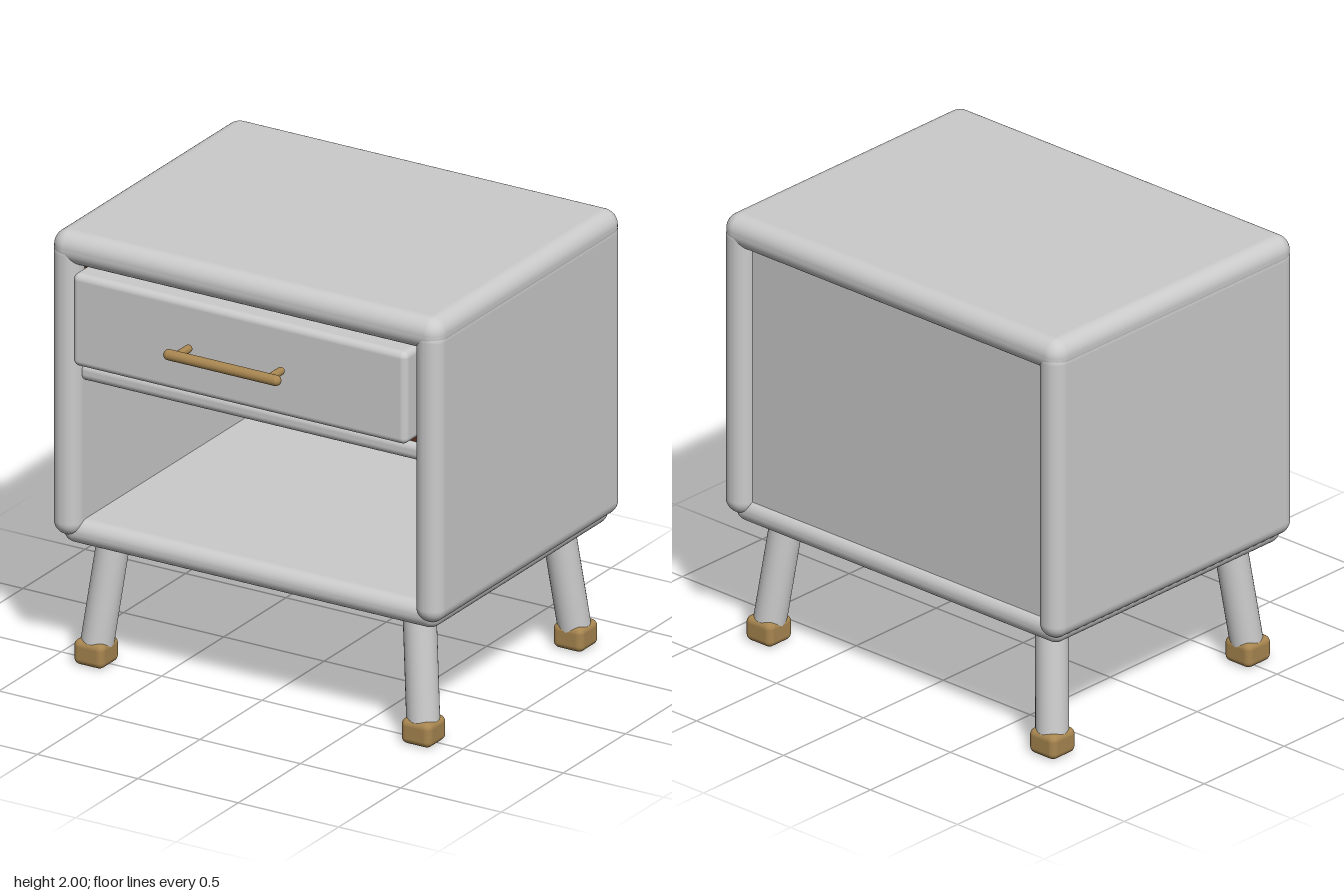
import * as THREE from 'three';
import { RoundedBoxGeometry } from 'three/addons/geometries/RoundedBoxGeometry.js';

export function createModel() {
  const model = new THREE.Group();
  model.name = 'nightstand';
  const grey = new THREE.MeshStandardMaterial({ color: 0xcccccc });
  const brass = new THREE.MeshStandardMaterial({ color: 0xa88650 });
  const brown = new THREE.MeshStandardMaterial({ color: 0x5e3420 });

  const add = (name, geometry, material, parent = model) => {
    const mesh = new THREE.Mesh(geometry, material);
    mesh.name = name;
    parent.add(mesh);
    return mesh;
  };

  // Box given by its limits on each axis; radius 0 leaves sharp edges
  const box = (name, [x0, x1], [y0, y1], [z0, z1], radius = 0, material = grey, parent = model) => {
    const size = [x1 - x0, y1 - y0, z1 - z0];
    const geometry = radius
      ? new RoundedBoxGeometry(...size, 6, radius)
      : new THREE.BoxGeometry(...size);
    const mesh = add(name, geometry, material, parent);
    mesh.position.set((x0 + x1) / 2, (y0 + y1) / 2, (z0 + z1) / 2);
    return mesh;
  };

  // Round bar between two points
  const rod = (name, a, b, radius, material, parent, rounded = false) => {
    const length = a.distanceTo(b);
    const geometry = rounded
      ? new THREE.CapsuleGeometry(radius, length - 2 * radius, 6, 20)
      : new THREE.CylinderGeometry(radius, radius, length, 32);
    const mesh = add(name, geometry, material, parent);
    mesh.position.copy(a).add(b).multiplyScalar(0.5);
    mesh.quaternion.setFromUnitVectors(new THREE.Vector3(0, 1, 0), b.clone().sub(a).normalize());
    return mesh;
  };
  const v = (x, y, z) => new THREE.Vector3(x, y, z);

  // Cabinet shell
  box('top', [-0.97, 0.97], [1.85, 2], [-0.845, 0.655], 0.07);
  box('leftSide', [0.835, 0.97], [0.6, 1.96], [-0.845, 0.655], 0.065);
  box('rightSide', [-0.97, -0.835], [0.6, 1.96], [-0.845, 0.655], 0.065);
  box('bottom', [-0.935, 0.935], [0.56, 0.675], [-0.81, 0.62], 0.055);
  box('backPanel', [-0.86, 0.86], [0.62, 1.9], [-0.785, -0.74]);
  box('shelf', [-0.86, 0.86], [1.315, 1.4], [-0.76, 0.6], 0.035);

  // Drawer
  const drawer = new THREE.Group();
  drawer.name = 'drawer';
  model.add(drawer);
  box('drawerBody', [-0.838, 0.838], [1.399, 1.855], [-0.74, 0.58], 0, brown, drawer);
  box('drawerFront', [-0.832, 0.832], [1.42, 1.845], [0.55, 0.69], 0.03, grey, drawer);

  // Bar handle on two posts
  const handle = new THREE.Group();
  handle.name = 'handle';
  drawer.add(handle);
  rod('handleBar', v(-0.29, 1.645, 0.82), v(0.29, 1.645, 0.82), 0.024, brass, handle, true);
  for (const x of [-0.23, 0.23]) {
    rod('handlePost', v(x, 1.645, 0.705), v(x, 1.645, 0.815), 0.018, brass, handle, true);
  }

  // Splayed legs with rounded feet
  for (const sx of [-1, 1]) {
    for (const [sz, footZ] of [[1, 0.518], [-1, -0.705]]) {
      const leg = new THREE.Group();
      leg.name = (sz > 0 ? 'front' : 'back') + (sx > 0 ? 'Left' : 'Right') + 'Leg';
      model.add(leg);
      rod('legPost', v(sx * 0.815, 0.06, footZ), v(sx * 0.757, 0.6, footZ - sz * 0.06), 0.072, grey, leg);
      const x = sx * 0.815;
      box('foot', [x - 0.075, x + 0.075], [0, 0.115], [footZ - 0.075, footZ + 0.075], 0.03, brass, leg);
    }
  }
  return model;
}
